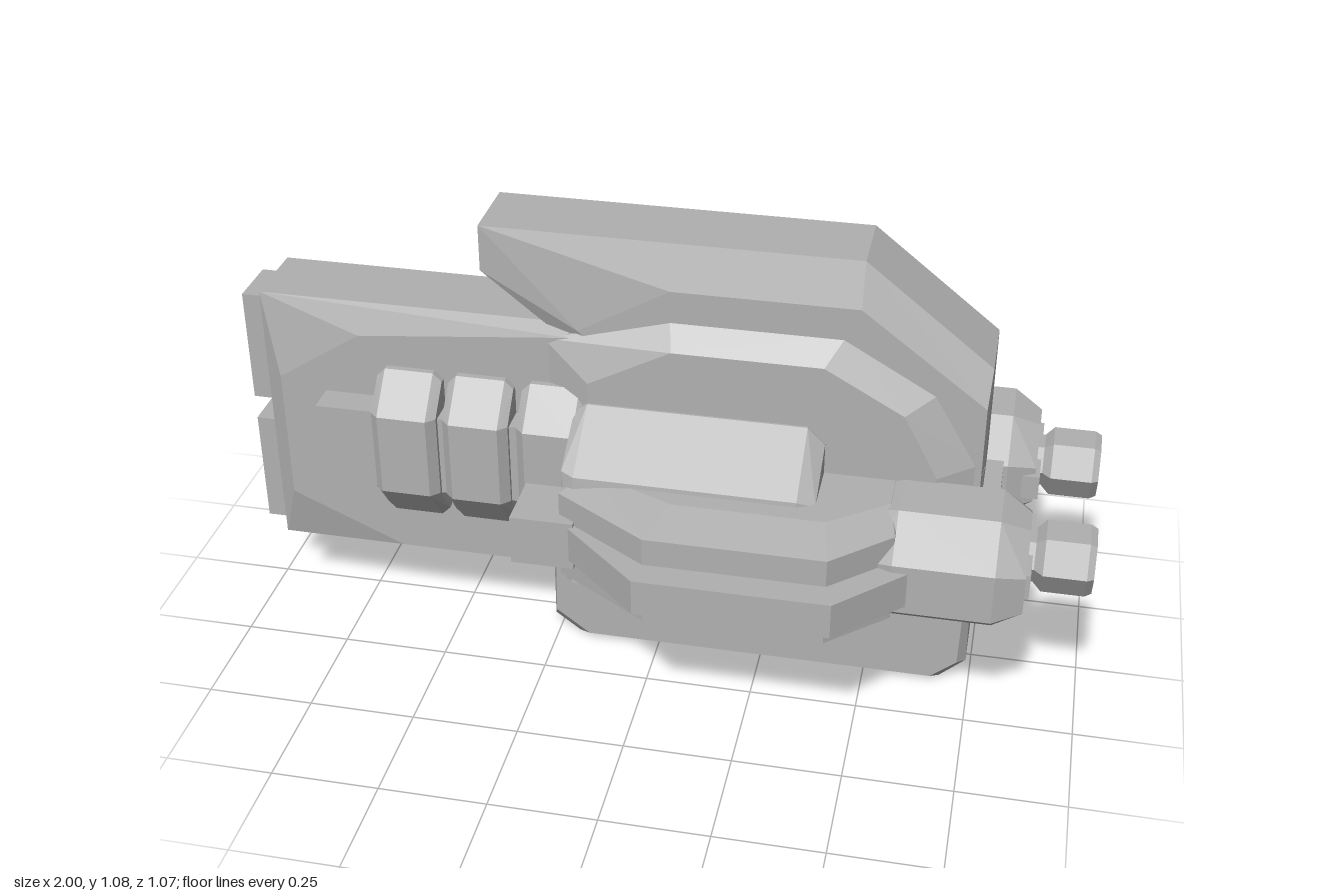
import * as THREE from 'three';
import { ConvexGeometry } from 'three/addons/geometries/ConvexGeometry.js';

const V = (x, y, z) => new THREE.Vector3(x, y, z);

export function createModel() {
  const ship = new THREE.Group();
  ship.name = 'gunship';
  const hullGrey = new THREE.MeshStandardMaterial({ color: 0xb0b0b0 });
  hullGrey.name = 'hull grey';

  const add = (name, geo, parent = ship) => {
    const m = new THREE.Mesh(geo, hullGrey);
    m.name = name;
    parent.add(m);
    return m;
  };
  const convex = (name, pts, parent) => add(name, new ConvexGeometry(pts), parent);

  // symmetric slab: layers of [half thickness, side outline]
  const slab = (name, layers) => convex(name, layers.flatMap(([z, outline]) =>
    outline.flatMap(([x, y]) => [V(x, y, z), V(x, y, -z)])));

  // hollow rectangular port opening towards -x
  const port = (name, x0, x1, y0, y1, z, w, rim, parent) => {
    const rect = (Type, a, b) => {
      const p = new Type();
      p.moveTo(-a, -b); p.lineTo(a, -b); p.lineTo(a, b); p.lineTo(-a, b); p.closePath();
      return p;
    };
    const h = (y1 - y0) / 2, y = (y0 + y1) / 2;
    const shape = rect(THREE.Shape, w, h);
    shape.holes.push(rect(THREE.Path, w - rim, h - rim));
    const depth = x1 - x0;
    const geo = new THREE.ExtrudeGeometry(shape, { depth, bevelEnabled: false });
    geo.rotateY(-Math.PI / 2);
    geo.translate(x1, y, z);
    add(name, geo, parent);
    const floor = new THREE.BoxGeometry(depth * 0.5, h * 2 - rim, w * 2 - rim);
    floor.translate(x1 - depth * 0.25, y, z);
    add(name + 'Floor', floor, parent);
  };

  // main hull: tail block, upper fin, keel and side bulge
  slab('tailHull', [
    [0.09, [[-0.945, 0.195], [0.2, 0.195], [0.2, 0.86], [-0.945, 0.86]]],
    [0.125, [[-0.9, 0.34], [-0.63, 0.22], [0.1, 0.22], [0.1, 0.84], [-0.2, 0.84], [-0.7, 0.79], [-0.9, 0.66]]],
  ]);
  slab('upperFin', [
    [0.09, [[-0.41, 0.97], [-0.41, 1.08], [0.45, 1.08], [0.74, 0.85], [0.74, 0.45], [0.24, 0.45]]],
    [0.125, [[-0.18, 0.86], [0.03, 0.98], [0.45, 0.98], [0.735, 0.765], [0.735, 0.47], [0.25, 0.47]]],
  ]);
  slab('keel', [
    [0.095, [[-0.26, 0.05], [-0.2, 0.005], [0.68, 0.005], [0.74, 0.06], [0.74, 0.6], [-0.26, 0.6]]],
    [0.123, [[-0.25, 0.08], [-0.17, 0.02], [0.66, 0.02], [0.72, 0.07], [0.735, 0.58], [-0.24, 0.58]]],
  ]);
  slab('sideBulge', [
    [0.12, [[-0.26, 0.83], [0.03, 0.91], [0.42, 0.91], [0.63, 0.79], [0.73, 0.62], [0.73, 0.3], [-0.26, 0.3]]],
    [0.165, [[-0.15, 0.75], [0.04, 0.85], [0.38, 0.85], [0.56, 0.75], [0.64, 0.6], [0.64, 0.38], [-0.15, 0.38]]],
  ]);
  const nose = new THREE.BoxGeometry(0.08, 0.12, 0.14);
  nose.translate(0.74, 0.46, 0);
  add('noseBlock', nose);

  // twin tail thrusters
  port('upperThruster', -1, -0.93, 0.56, 0.835, 0, 0.065, 0.03);
  port('lowerThruster', -1, -0.93, 0.22, 0.5, 0, 0.065, 0.03);

  for (const s of [1, -1]) {
    const side = new THREE.Group();
    side.name = s > 0 ? 'frontSide' : 'backSide';
    ship.add(side);

    // loft of [x, [[z, y], ...]] sections along the hull
    const alongX = (name, sections) => convex(name, sections.flatMap(([x, ring]) =>
      ring.map(([z, y]) => V(x, y, z * s))), side);
    // stack of [y0, y1, [[x, z], ...]] plan outlines
    const plan = (name, layers) => convex(name, layers.flatMap(([y0, y1, o]) =>
      o.flatMap(([x, z]) => [V(x, y0, z * s), V(x, y1, z * s)])), side);

    // cooling ribs
    const rib = k => [[0.08, 0.335 + k], [0.14, 0.335 + k], [0.22 - k, 0.435],
      [0.22 - k, 0.635], [0.14, 0.72 - k], [0.08, 0.72 - k]];
    for (const x of [-0.655, -0.485, -0.31]) {
      alongX('coolingRib', [[x, rib(0.02)], [x + 0.02, rib(0)], [x + 0.135, rib(0)], [x + 0.155, rib(0.02)]]);
    }
    const core = new THREE.BoxGeometry(0.55, 0.2, 0.12);
    core.translate(-0.4, 0.53, 0.13 * s);
    add('ribCore', core, side);
    port('sideExhaust', -0.79, -0.64, 0.42, 0.635, 0.145 * s, 0.053, 0.022, side);

    // sloped fairing above and below the pod
    alongX('podFairing', [
      [-0.18, [[0.1, 0.24], [0.15, 0.21], [0.32, 0.34], [0.3, 0.6], [0.17, 0.68], [0.1, 0.68]]],
      [-0.15, [[0.1, 0.195], [0.15, 0.195], [0.35, 0.335], [0.315, 0.595], [0.17, 0.7], [0.1, 0.7]]],
      [0.35, [[0.1, 0.195], [0.15, 0.195], [0.35, 0.335], [0.315, 0.595], [0.17, 0.7], [0.1, 0.7]]],
      [0.39, [[0.1, 0.24], [0.15, 0.24], [0.32, 0.35], [0.3, 0.58], [0.17, 0.66], [0.1, 0.66]]],
    ]);

    // pod body, armour shelf and outer beam
    plan('podShelf', [
      [0.315, 0.585, [[-0.12, 0.12], [-0.12, 0.27], [0.08, 0.36], [0.42, 0.36], [0.55, 0.26], [0.55, 0.12]]],
      [0.345, 0.56, [[-0.18, 0.12], [-0.18, 0.33], [0.04, 0.47], [0.44, 0.47], [0.57, 0.35], [0.57, 0.12]]],
    ]);
    plan('outerBeam', [
      [0.41, 0.495, [[-0.15, 0.2], [-0.15, 0.37], [0.03, 0.535], [0.46, 0.535], [0.61, 0.385], [0.61, 0.2]]],
    ]);
    port('podExhaust', -0.285, -0.14, 0.385, 0.505, 0.295 * s, 0.072, 0.025, side);

    // gun pod nose
    const oct = (a, b, k) => [[-a, -k], [-a, k], [-a + 0.1, b], [a - 0.1, b],
      [a, k], [a, -k], [a - 0.1, -b], [-a + 0.1, -b]].map(([z, y]) => [0.225 + z, 0.452 + y]);
    alongX('gunPod', [
      [0.48, oct(0.13, 0.11, 0.04)],
      [0.57, oct(0.165, 0.138, 0.06)],
      [0.79, oct(0.165, 0.138, 0.06)],
      [0.855, oct(0.135, 0.105, 0.045)],
    ]);
    const collar = new THREE.BoxGeometry(0.04, 0.06, 0.25);
    collar.translate(0.845, 0.452, 0.2 * s);
    add('gunCollar', collar, side);

    // hollow six-sided barrel
    const profile = [[0.06, 0.83], [0.06, 0.87], [0.08, 0.89], [0.08, 0.985], [0.072, 1],
      [0.048, 1], [0.042, 0.93], [0, 0.93]].map(([r, h]) => new THREE.Vector2(r, h));
    const barrel = new THREE.LatheGeometry(profile, 6).toNonIndexed();
    barrel.computeVertexNormals();
    barrel.rotateZ(-Math.PI / 2);
    barrel.translate(0, 0.455, 0.2 * s);
    add('gunBarrel', barrel, side);
  }
  return ship;
}
